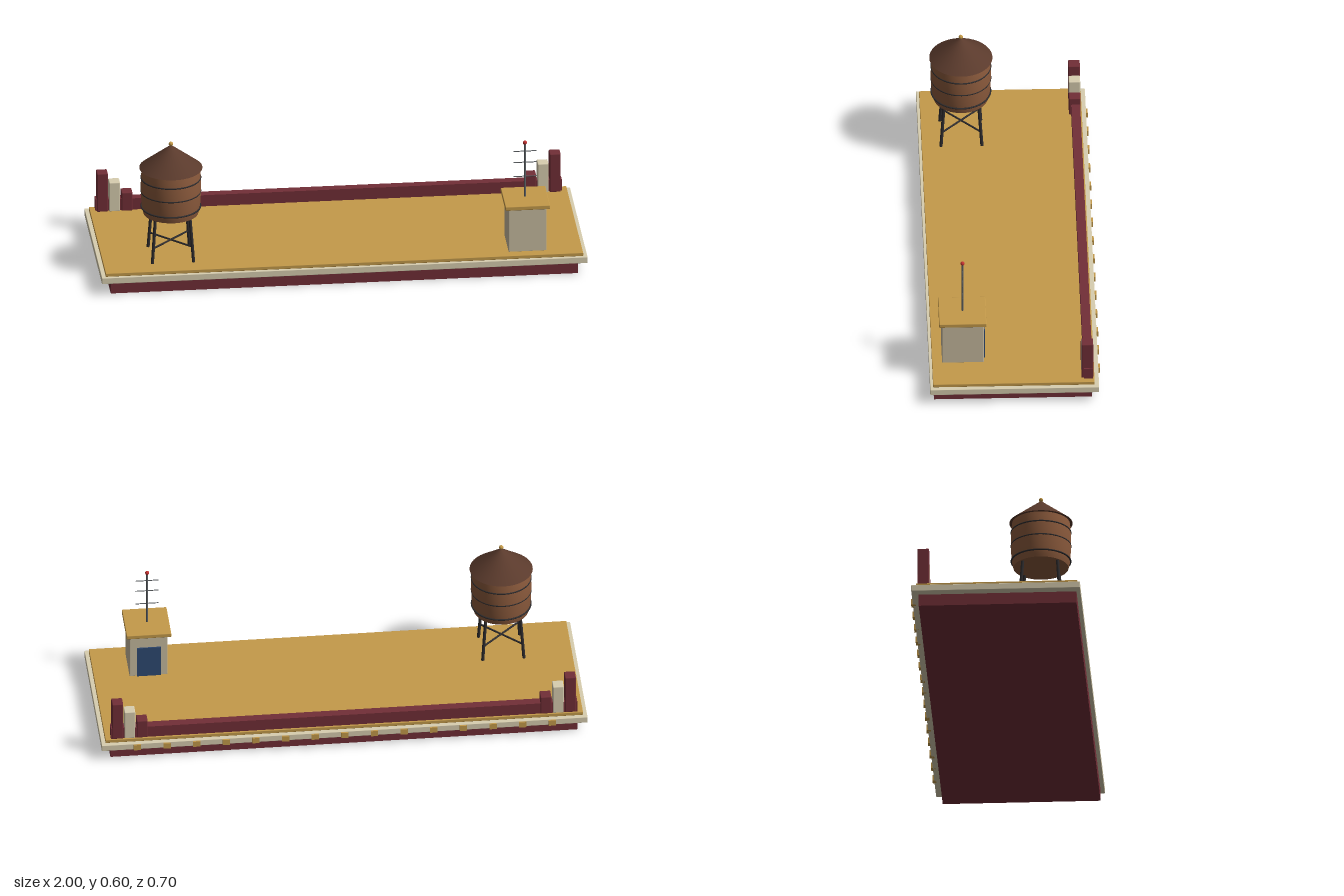
import * as THREE from 'three';
import { RoundedBoxGeometry } from 'three/addons/geometries/RoundedBoxGeometry.js';

const mat = (color) => new THREE.MeshStandardMaterial({ color });
const MAROON = mat(0x722f37), CREAM = mat(0xd8ceb0), GOLD = mat(0xc49a4a), STONE = mat(0xc8bca0);
const WOOD = mat(0x8b5a3c), SHINGLE = mat(0x5a3a2c), IRON = mat(0x2e2c2e), STEEL = mat(0x5c6064);
const BLUE = mat(0x2f4a73), RED = mat(0xc03030);

function add(parent, name, geometry, material, x = 0, y = 0, z = 0) {
  const mesh = new THREE.Mesh(geometry, material);
  mesh.name = name;
  mesh.position.set(x, y, z);
  parent.add(mesh);
  return mesh;
}

// Box given by its extents; an optional radius softens the edges
function block(parent, name, material, [x0, x1], [y0, y1], [z0, z1], radius = 0) {
  const size = [x1 - x0, y1 - y0, z1 - z0];
  const geometry = radius ? new RoundedBoxGeometry(...size, 2, radius) : new THREE.BoxGeometry(...size);
  return add(parent, name, geometry, material, (x0 + x1) / 2, (y0 + y1) / 2, (z0 + z1) / 2);
}

// Round bar between two points
function rod(parent, name, material, a, b, radius) {
  const from = new THREE.Vector3(...a), to = new THREE.Vector3(...b);
  const dir = to.clone().sub(from);
  const mesh = add(parent, name, new THREE.CylinderGeometry(radius, radius, dir.length(), 10), material);
  mesh.position.copy(from).add(to).multiplyScalar(0.5);
  mesh.quaternion.setFromUnitVectors(new THREE.Vector3(0, 1, 0), dir.normalize());
  return mesh;
}

function createRoofSlab() {
  const g = new THREE.Group();
  g.name = 'roofSlab';
  block(g, 'base', MAROON, [-0.962, 0.962], [0, 0.05], [-0.313, 0.334]);
  block(g, 'cornice', CREAM, [-1, 1], [0.05, 0.077], [-0.342, 0.35], 0.002);
  block(g, 'roofDeck', GOLD, [-0.983, 0.983], [0.077, 0.092], [-0.324, 0.338], 0.002);
  // Small blocks along the back of the cornice
  for (let i = -7; i <= 7; i++) {
    const x = i * 0.122;
    block(g, 'corniceBlock', GOLD, [x - 0.015, x + 0.015], [0.05, 0.075], [-0.349, -0.33]);
  }
  return g;
}

function createParapet() {
  const g = new THREE.Group();
  g.name = 'parapet';
  block(g, 'backWall', MAROON, [-0.96, 0.96], [0.092, 0.142], [-0.317, -0.28]);
  // Stepped posts, mirrored at both ends
  const posts = [[0.932, 0.262, MAROON], [0.882, 0.22, CREAM], [0.831, 0.173, MAROON]];
  for (const side of [-1, 1]) {
    for (const [x, top, material] of posts) {
      const c = side * x;
      block(g, 'parapetPost', material, [c - 0.0225, c + 0.0225], [0.09, top], [-0.319, -0.271], 0.004);
    }
  }
  return g;
}

function createWaterTower() {
  const g = new THREE.Group();
  g.name = 'waterTower';
  g.position.set(-0.698, 0, 0.175);

  // Bulging barrel
  const curve = new THREE.SplineCurve([
    [0.113, 0.282], [0.1195, 0.315], [0.1235, 0.38], [0.1225, 0.44], [0.118, 0.485],
  ].map(([r, y]) => new THREE.Vector2(r, y)));
  add(g, 'barrel', new THREE.LatheGeometry(curve.getPoints(16), 40), WOOD);
  const floor = add(g, 'barrelFloor', new THREE.CircleGeometry(0.113, 40), WOOD, 0, 0.282, 0);
  floor.rotation.x = Math.PI / 2;
  for (const y of [0.311, 0.38, 0.44]) {
    const band = add(g, 'barrelBand', new THREE.TorusGeometry(0.1215, 0.0035, 8, 48), IRON, 0, y, 0);
    band.rotation.x = Math.PI / 2;
  }

  // Conical cap and finial
  add(g, 'capRoof', new THREE.ConeGeometry(0.1295, 0.102, 40), SHINGLE, 0, 0.534, 0);
  add(g, 'finial', new THREE.SphereGeometry(0.009, 16, 12), GOLD, 0, 0.589, 0);

  // Splayed legs and crossed braces
  for (const sx of [-1, 1]) {
    for (const sz of [-1, 1]) {
      rod(g, 'leg', IRON, [sx * 0.085, 0.09, sz * 0.084], [sx * 0.071, 0.288, sz * 0.071], 0.0065);
    }
    rod(g, 'brace', IRON, [-0.08, 0.158, -sx * 0.08], [0.08, 0.158, sx * 0.08], 0.004);
  }
  return g;
}

function createRoofHut() {
  const g = new THREE.Group();
  g.name = 'roofHut';
  block(g, 'hutWalls', STONE, [0.68, 0.837], [0.09, 0.282], [0.126, 0.297], 0.003);
  block(g, 'hutRoof', GOLD, [0.666, 0.85], [0.281, 0.299], [0.115, 0.309], 0.003);
  block(g, 'hutDoor', BLUE, [0.708, 0.806], [0.092, 0.23], [0.121, 0.13]);

  // Aerial with three crossbars
  const x = 0.756, z = 0.211;
  rod(g, 'aerialMast', STEEL, [x, 0.298, z], [x, 0.54, z], 0.004);
  for (const y of [0.39, 0.453, 0.503]) {
    rod(g, 'aerialBar', STEEL, [x - 0.047, y, z], [x + 0.047, y, z], 0.002);
  }
  add(g, 'aerialLight', new THREE.SphereGeometry(0.0085, 16, 12), RED, x, 0.541, z);
  return g;
}

export function createModel() {
  const model = new THREE.Group();
  model.name = 'rooftop';
  model.add(createRoofSlab(), createParapet(), createWaterTower(), createRoofHut());
  return model;
}
